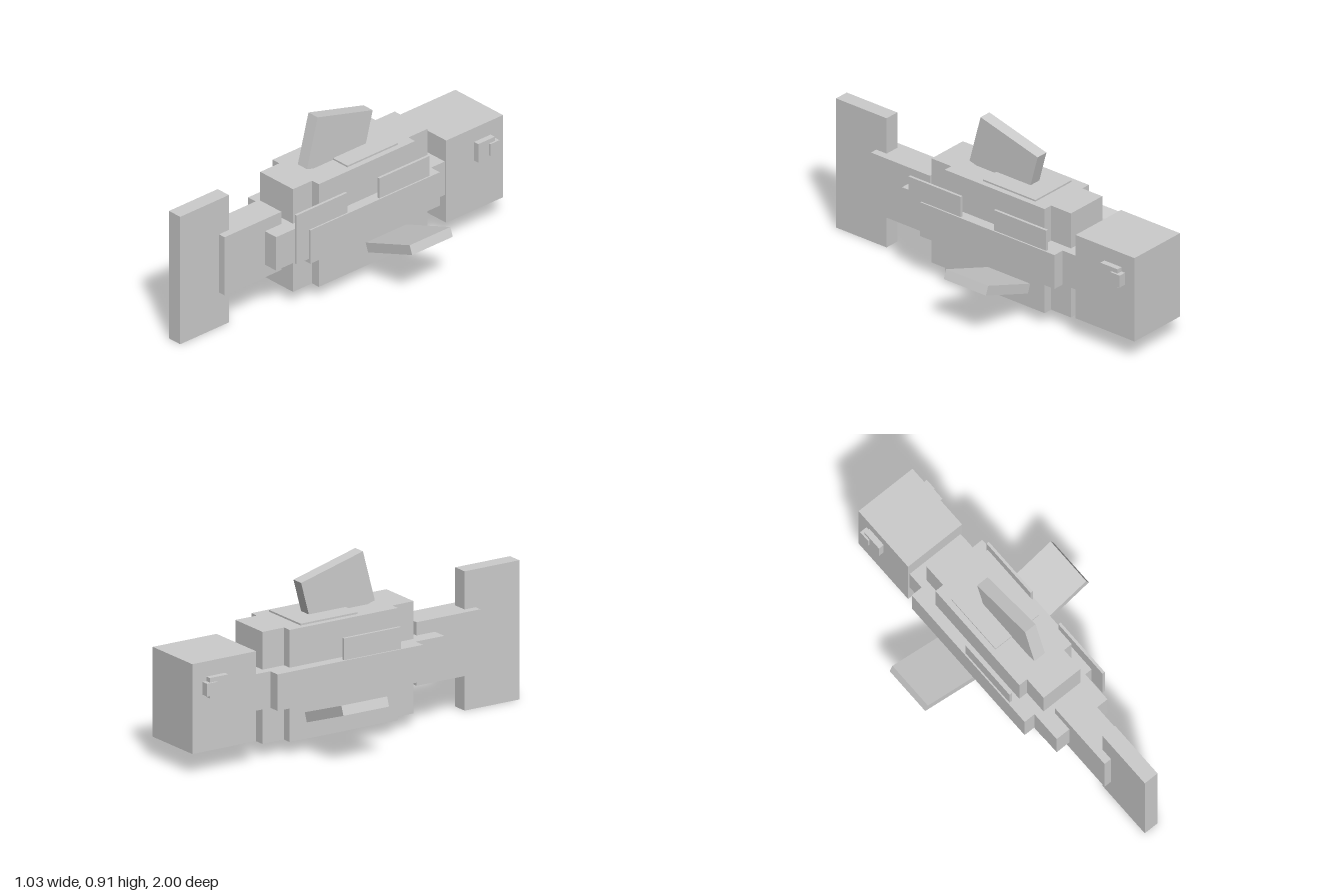
import * as THREE from 'three';

const gray = new THREE.MeshStandardMaterial({ color: 0xcccccc });
gray.name = 'lightGray';

// Box given by its extents along each axis
function block(name, [x0, x1], [y0, y1], [z0, z1]) {
  const mesh = new THREE.Mesh(new THREE.BoxGeometry(x1 - x0, y1 - y0, z1 - z0), gray);
  mesh.position.set((x0 + x1) / 2, (y0 + y1) / 2, (z0 + z1) / 2);
  mesh.name = name;
  return mesh;
}

// Box centred on x = 0
const centred = (name, half, y, z) => block(name, [-half, half], y, z);

export function createModel() {
  const fish = new THREE.Group();
  fish.name = 'fish';

  // Body: stepped blocks, widest along the middle
  fish.add(
    centred('head', 0.17, [0.11, 0.565], [-1, -0.627]),
    centred('spineCore', 0.16, [0.26, 0.445], [-0.63, 0.48]),
    centred('bodyLong', 0.117, [0.068, 0.636], [-0.553, 0.33]),
    centred('bodyWide', 0.165, [0.068, 0.636], [-0.427, 0.205]),
    centred('middleBand', 0.222, [0.26, 0.445], [-0.537, 0.313]),
    centred('backPlate', 0.135, [0.6, 0.645], [-0.343, -0.01]),
  );

  // Tail
  fish.add(
    centred('tailStem', 0.08, [0.19, 0.512], [0.372, 0.745]),
    centred('tailFin', 0.04, [0, 0.705], [0.68, 1]),
  );

  // Dorsal fin, leaning forward
  const dorsal = centred('dorsalFin', 0.033, [0.595, 0.865], [-0.242, 0.132]);
  dorsal.rotation.x = THREE.MathUtils.degToRad(-15);
  fish.add(dorsal);

  // Scale plates: two on the left flank, one on the right
  fish.add(
    block('leftScaleRear', [0.2, 0.214], [0.285, 0.555], [0.063, 0.395]),
    block('leftScaleFront', [0.2, 0.214], [0.285, 0.555], [-0.478, -0.147]),
    block('rightScale', [-0.214, -0.2], [0.285, 0.555], [-0.143, 0.19]),
  );

  // Eyes and side fins, mirrored
  for (const [side, s] of [['left', 1], ['right', -1]]) {
    const span = (a, b) => (s > 0 ? [a, b] : [-b, -a]);
    fish.add(
      block(side + 'Eye', span(0.15, 0.2), [0.385, 0.488], [-0.918, -0.81]),
      block(side + 'Pupil', span(0.17, 0.21), [0.4, 0.465], [-0.94, -0.88]),
    );
    const fin = block(side + 'SideFin', span(0.183, 0.517), [0.22, 0.27], [-0.352, -0.085]);
    fin.rotation.z = s * THREE.MathUtils.degToRad(20);
    fish.add(fin);
  }

  return fish;
}
